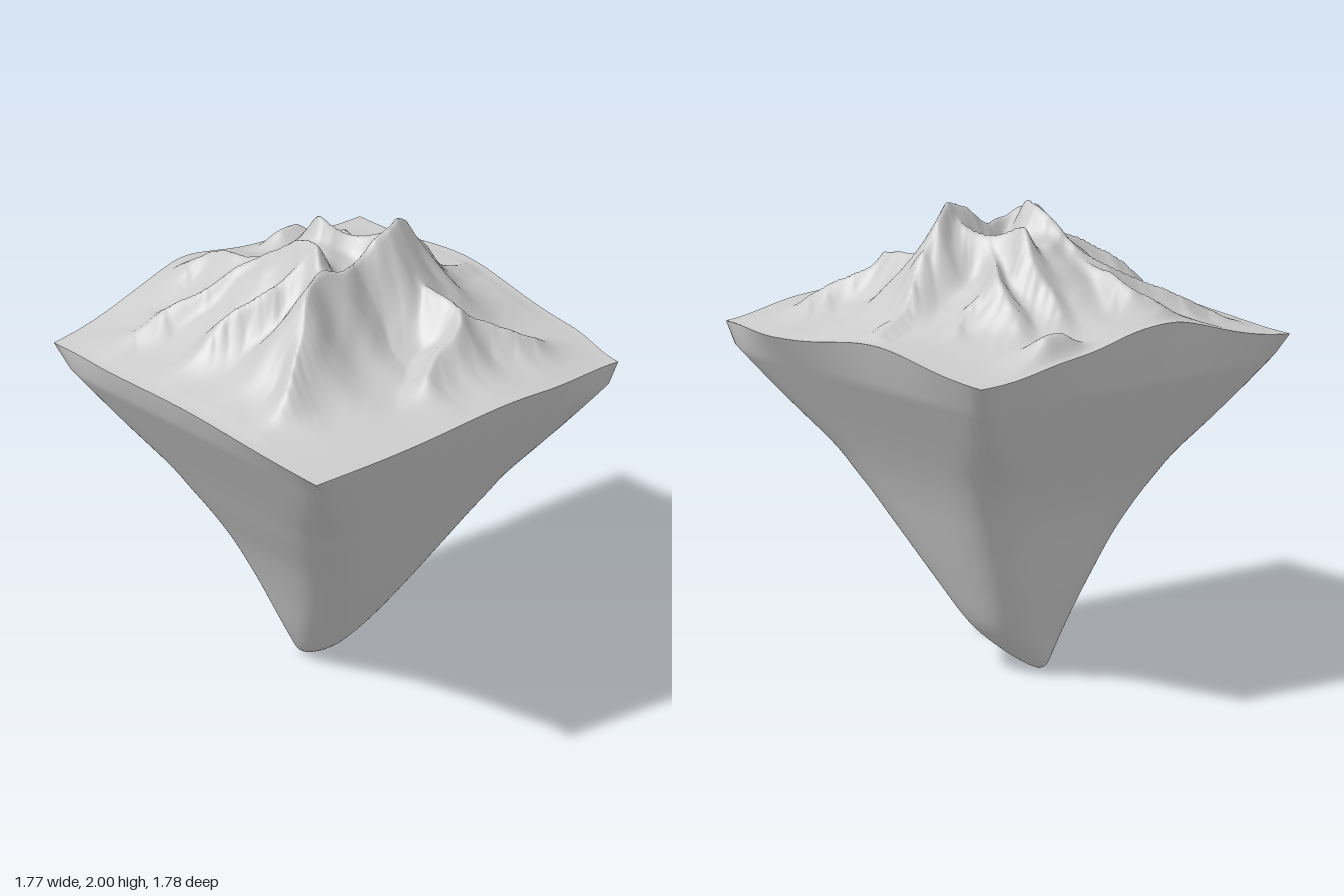
import * as THREE from 'three';

const material = new THREE.MeshStandardMaterial({ color: 0xcccccc, side: THREE.DoubleSide });
const { lerp, clamp, smoothstep } = THREE.MathUtils;

// Rounded hump of the given height and width, centred on c.
const hump = (p, c, width, height) => height * Math.exp(-(((p - c) / width) ** 2));

// Outline of the plateau in plan, and the height along each side.
const leftX = (v) => -0.865 - 0.025 * v + hump(v, -0.85, 0.2, 0.01);
const rightX = (v) => 0.885 - 0.065 * smoothstep(v, 0.55, 1);
const backZ = (u) => -0.86 - 0.03 * smoothstep(u, -0.5, 0.6) - hump(u, -0.14, 0.15, 0.018);
const frontZ = (u) => 0.885 + 0.01 * u - 0.065 * smoothstep(u, 0.45, 1);
const leftY = (v) => 1.43 - 0.01 * v + hump(v, 0, 0.5, 0.02);
const rightY = (v) => 1.45 - 0.02 * v + hump(v, -0.2, 0.45, 0.075);
const backY = (u) => 1.445 + 0.02 * u + hump(u, -0.17, 0.5, 0.15) + hump(u, 0.5, 0.25, 0.03);
const frontY = (u) => 1.425 + 0.005 * u + hump(u, 0.3, 0.55, 0.045);

// Ground point blended from the four sides; u and v run from -1 to 1.
function ground(u, v) {
  const s = (u + 1) / 2, t = (v + 1) / 2;
  const corners = lerp(lerp(leftY(-1), rightY(-1), s), lerp(leftY(1), rightY(1), s), t);
  return new THREE.Vector3(
    lerp(leftX(v), rightX(v), s),
    lerp(leftY(v), rightY(v), s) + lerp(backY(u), frontY(u), t) - corners,
    lerp(backZ(u), frontZ(u), t));
}

// One crest line through a few points [x, height, z], sampled as a smooth curve.
const ridge = (...points) => new THREE.CatmullRomCurve3(
  points.map((p) => new THREE.Vector3(...p))).getPoints((points.length - 1) * 4);

// Summit crest, then its spurs to the back, then the front foothill
const ridges = [
  ridge([-0.62, 1.54, 0.36], [-0.45, 1.73, 0.27], [-0.34, 1.88, 0.16], [-0.16, 1.9, 0.11],
    [0.03, 1.87, 0.08], [0.27, 2.0, 0.06], [0.6, 1.63, -0.07], [0.85, 1.53, -0.16]),
  ridge([0.24, 1.92, 0], [0.18, 1.88, -0.12], [0.13, 1.925, -0.27], [0.17, 1.78, -0.43], [0.2, 1.6, -0.65]),
  ridge([0.2, 1.82, -0.14], [0.33, 1.77, -0.35], [0.42, 1.56, -0.6]),
  ridge([0.33, 1.74, -0.3], [0.62, 1.54, -0.36]),
  ridge([-0.15, 1.87, 0.08], [-0.12, 1.97, -0.04], [-0.12, 1.82, -0.32], [-0.62, 1.52, -0.6]),
  ridge([-0.12, 1.78, -0.32], [-0.14, 1.71, -0.67], [-0.33, 1.57, -0.7]),
  ridge([-0.16, 1.88, -0.02], [-0.42, 1.73, -0.15], [-0.62, 1.53, -0.22]),
  ridge([0.36, 1.61, -0.77], [0.45, 1.61, -0.79]),
  ridge([0.25, 1.75, 0.2], [0.28, 1.72, 0.44], [-0.03, 1.57, 0.59]),
  ridge([0.28, 1.69, 0.45], [0.55, 1.55, 0.6]),
];

// Soft maximum of a broad dome and all ridge flanks above the ground level.
function massif(x, z, base) {
  let sum = Math.pow(hump(x, 0, 0.42, 0.27) * hump(z, -0.18, 0.36, 1), 10);
  for (const line of ridges) {
    let best = 0;
    for (let i = 0; i < line.length - 1; i++) {
      const a = line[i], b = line[i + 1];
      const dx = b.x - a.x, dz = b.z - a.z;
      const t = clamp(((x - a.x) * dx + (z - a.z) * dz) / (dx * dx + dz * dz), 0, 1);
      const d = Math.hypot(x - a.x - dx * t, z - a.z - dz * t);
      const rise = Math.max(lerp(a.y, b.y, t) - base, 0);
      best = Math.max(best, rise * Math.exp(-Math.pow(d / (0.07 + 0.24 * rise), 1.3)));
    }
    sum += Math.pow(best, 10);
  }
  return Math.pow(sum, 1 / 10);
}

// Small gullies, stronger on high ground.
function gullies(x, z) {
  return 0.5 * Math.sin(19 * x + 4 * Math.sin(7 * z)) * Math.sin(17 * z + 3 * Math.sin(9 * x))
    + 0.3 * Math.sin(41 * x + 13 * z + 2 * Math.sin(23 * z));
}

// Indexed surface from a function of column and row.
function surface(name, cols, rows, wrap, point) {
  const positions = [], index = [];
  const width = wrap ? cols : cols + 1;
  for (let j = 0; j <= rows; j++) {
    for (let i = 0; i < width; i++) positions.push(...point(i, j).toArray());
  }
  for (let j = 0; j < rows; j++) {
    for (let i = 0; i < cols; i++) {
      const a = j * width + i, b = j * width + (i + 1) % width, c = a + width, d = b + width;
      if (wrap) index.push(a, b, c, b, d, c);
      else index.push(a, c, b, b, c, d);
    }
  }
  const geometry = new THREE.BufferGeometry();
  geometry.setAttribute('position', new THREE.Float32BufferAttribute(positions, 3));
  geometry.setIndex(index);
  geometry.computeVertexNormals();
  const mesh = new THREE.Mesh(geometry, material);
  mesh.name = name;
  return mesh;
}

// Rock sections: [y, x min, x max, z min, z max, corner sharpness].
const sections = [
  [1.34, -0.825, 0.815, -0.82, 0.825, 26],
  [1.0, -0.61, 0.6, -0.61, 0.6, 9],
  [0.8, -0.49, 0.49, -0.49, 0.475, 6],
  [0.6, -0.37, 0.4, -0.41, 0.35, 4.5],
  [0.4, -0.27, 0.31, -0.35, 0.22, 3.5],
  [0.2, -0.18, 0.21, -0.28, 0.075, 2.8],
  [0.08, -0.115, 0.09, -0.245, -0.02, 2.3],
  [0.02, -0.07, 0.01, -0.22, -0.12, 2.1],
  [0.0, -0.03, -0.03, -0.19, -0.19, 2],
];

// Catmull-Rom blend between neighbouring sections.
function sectionAt(f) {
  const last = sections.length - 1, i = Math.min(Math.floor(f), last - 1), t = f - i;
  const s = [-1, 0, 1, 2].map((k) => sections[clamp(i + k, 0, last)]);
  return s[1].map((p1, k) => {
    const p0 = s[0][k], p2 = s[2][k], p3 = s[3][k];
    return p1 + 0.5 * t * (p2 - p0 + t * (2 * p0 - 5 * p1 + 4 * p2 - p3 + t * (3 * (p1 - p2) + p3 - p0)));
  });
}

export function createModel() {
  const group = new THREE.Group();
  group.name = 'floatingMountain';

  // Mountain and surrounding plain
  const N = 150;
  group.add(surface('mountainTop', N, N, false, (i, j) => {
    const u = (2 * i) / N - 1, v = (2 * j) / N - 1;
    const p = ground(u, v);
    const fade = smoothstep(1 - Math.max(Math.abs(u), Math.abs(v)), 0, 0.1);
    const wx = p.x + 0.012 * Math.sin(21 * p.z), wz = p.z + 0.012 * Math.sin(23 * p.x);
    const rise = massif(wx, wz, p.y) * fade;
    p.y = Math.min(p.y + rise + 0.04 * rise * gullies(p.x, p.z), 2);
    return p;
  }));

  // Tapering rock below, from the rim down to the tip
  const side = 40, sub = 5;
  group.add(surface('rockUnderside', side * 4, (sections.length - 1) * sub + 1, true, (i, j) => {
    const t = (2 * (i % side)) / side - 1;
    const [u, v] = [[1, t], [-t, 1], [-1, -t], [t, -1]][Math.floor(i / side)];
    if (j === 0) return ground(u, v);
    const [y, x0, x1, z0, z1, n] = sectionAt((j - 1) / sub);
    const r = Math.pow(Math.abs(u) ** n + Math.abs(v) ** n, -1 / n);
    return new THREE.Vector3(
      lerp(x0, x1, (u * r + 1) / 2), Math.max(y, 0), lerp(z0, z1, (v * r + 1) / 2));
  }));

  return group;
}
